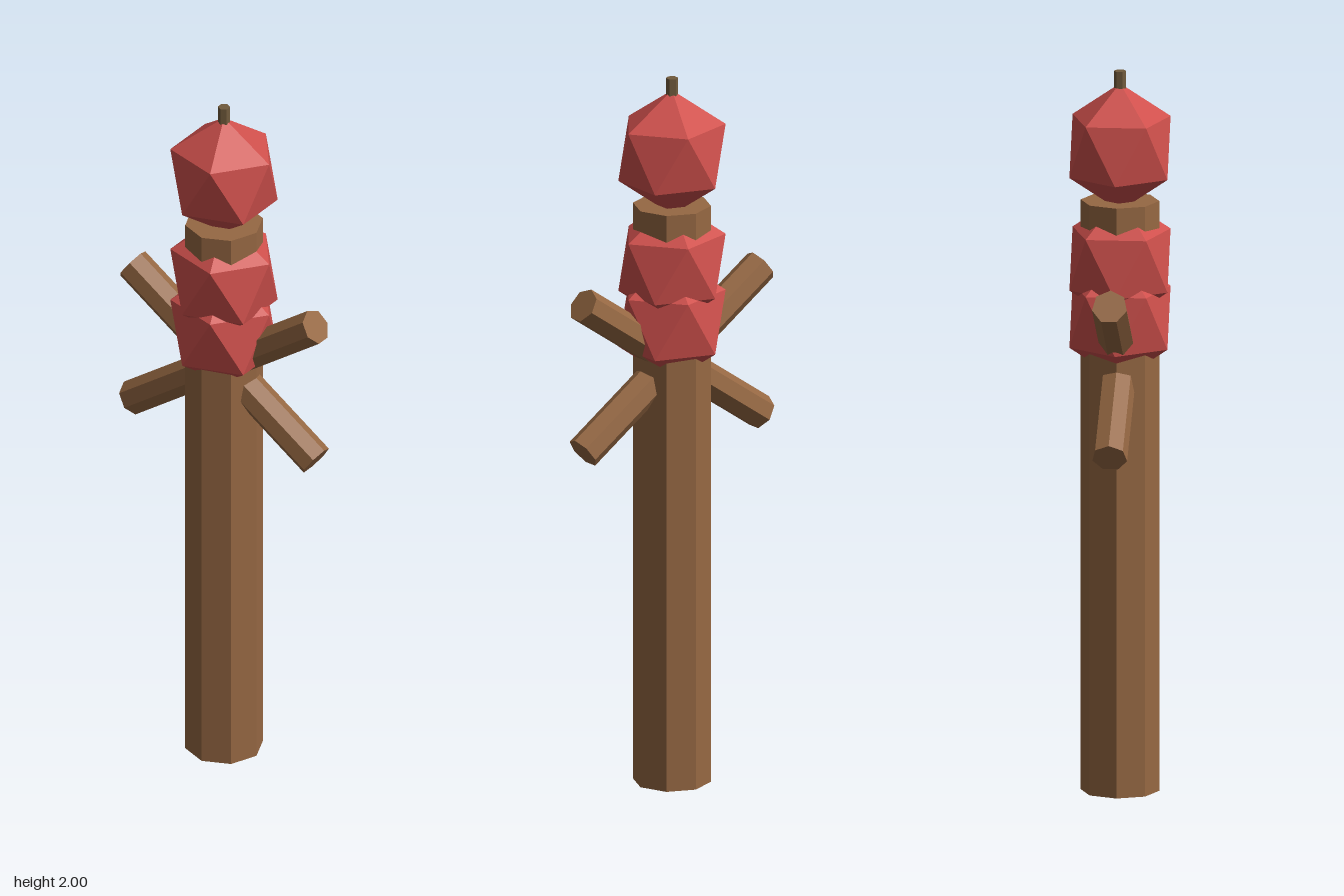
import * as THREE from 'three';

export function createModel() {
  const model = new THREE.Group();
  const wood = new THREE.MeshStandardMaterial({ color: 0x966843, flatShading: true });
  wood.name = 'wood brown';
  const red = new THREE.MeshStandardMaterial({ color: 0xcf504c, flatShading: true });
  red.name = 'fruit red';
  const stalk = new THREE.MeshStandardMaterial({ color: 0x705a3c, flatShading: true });
  stalk.name = 'stalk brown';

  const add = (name, geometry, material, y) => {
    const mesh = new THREE.Mesh(geometry, material);
    mesh.name = name;
    mesh.position.y = y;
    model.add(mesh);
    return mesh;
  };

  // eight-sided post
  add('post', new THREE.CylinderGeometry(0.107, 0.107, 1.64, 8), wood, 0.82);

  // two seven-sided poles crossing through the post, a ridge on top of each
  for (const side of [-1, 1]) {
    const geometry = new THREE.CylinderGeometry(0.0485, 0.0485, 0.736, 7);
    geometry.rotateY(side * Math.PI / 2);
    const pole = add(side > 0 ? 'crossPoleA' : 'crossPoleB', geometry, wood, 1.2);
    pole.rotation.z = side * THREE.MathUtils.degToRad(55.2);
  }

  // three faceted fruits standing on a corner, the lower two threaded on the post
  const fruit = new THREE.IcosahedronGeometry(1, 0);
  fruit.rotateZ(-Math.atan(2 / (1 + Math.sqrt(5))));
  fruit.scale(0.166, 0.177, 0.157);
  const names = ['lowerFruit', 'middleFruit', 'topFruit'];
  [1.316, 1.475, 1.788].forEach((y, i) => add(names[i], fruit, red, y));

  // stalk on the top fruit
  add('stalk', new THREE.CylinderGeometry(0.017, 0.017, 0.1, 6), stalk, 1.95);

  return model;
}
